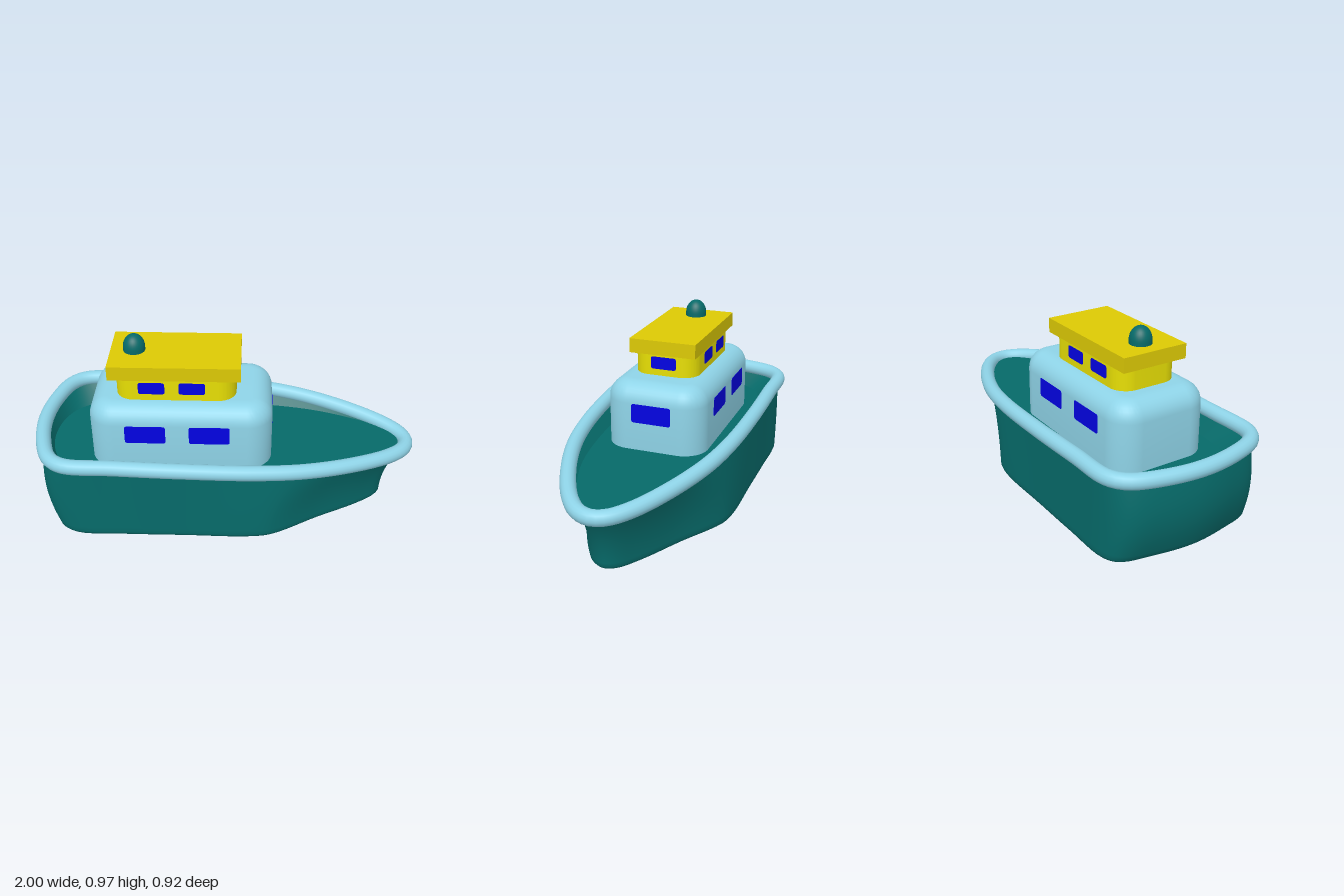
import * as THREE from 'three';
import { toCreasedNormals } from 'three/addons/utils/BufferGeometryUtils.js';

const mat = (name, color) => {
  const m = new THREE.MeshStandardMaterial({ color });
  m.name = name;
  return m;
};

// Half outlines [x, z] from stern to bow, with matching points
const SHEER = [[-0.96, 0], [-0.937, 0.19], [-0.878, 0.35], [-0.8, 0.408], [-0.55, 0.417], [-0.2, 0.418],
  [0.15, 0.397], [0.4, 0.352], [0.65, 0.262], [0.85, 0.153], [0.937, 0.07], [0.96, 0]];
const KEEL = [[-0.91, 0], [-0.885, 0.2], [-0.84, 0.37], [-0.77, 0.413], [-0.5, 0.42], [-0.2, 0.42],
  [0.13, 0.42], [0.25, 0.398], [0.5, 0.255], [0.72, 0.135], [0.825, 0.058], [0.85, 0]];
const DECK = [[-0.92, 0], [-0.89, 0.16], [-0.82, 0.26], [-0.72, 0.31], [-0.5, 0.335], [-0.2, 0.34],
  [0.15, 0.325], [0.45, 0.28], [0.65, 0.215], [0.82, 0.13], [0.885, 0.06], [0.905, 0]];
const N = 132;
const DECK_Y = 0.34;
const { lerp, smoothstep } = THREE.MathUtils;

const sheerY = (x) => 0.422 - 0.058 * x - 0.034 * x * x;

// Mirror a half outline into a closed smooth curve
function outline(half, yOf) {
  const other = half.slice(1, -1).reverse().map(([x, z]) => [x, -z]);
  const pts = [...half, ...other].map(([x, z]) => new THREE.Vector3(x, yOf(x), z));
  return new THREE.CatmullRomCurve3(pts, true);
}
const sample = (curve) => Array.from({ length: N }, (_, i) => curve.getPoint(i / N));

// Skin a list of closed rings
function loft(rings) {
  const pos = [], idx = [];
  rings.forEach((r) => r.forEach((p) => pos.push(p.x, p.y, p.z)));
  for (let j = 0; j < rings.length - 1; j++) {
    for (let i = 0; i < N; i++) {
      const k = (i + 1) % N;
      const a = j * N + i, b = j * N + k, c = a + N, d = b + N;
      idx.push(a, b, d, a, d, c);
    }
  }
  const g = new THREE.BufferGeometry();
  g.setAttribute('position', new THREE.Float32BufferAttribute(pos, 3));
  g.setIndex(idx);
  g.computeVertexNormals();
  return g;
}

function roundedRect(w, h, r) {
  const s = new THREE.Shape();
  const x = w / 2, y = h / 2;
  s.absarc(x - r, y - r, r, 0, Math.PI / 2);
  s.absarc(-x + r, y - r, r, Math.PI / 2, Math.PI);
  s.absarc(-x + r, -y + r, r, Math.PI, Math.PI * 1.5);
  s.absarc(x - r, -y + r, r, Math.PI * 1.5, Math.PI * 2);
  s.closePath();
  return s;
}

// Upright block with rounded corners in plan; bevel softens its top and bottom edges
function block(width, height, depth, corner, bevel) {
  const shape = roundedRect(width - 2 * bevel, depth - 2 * bevel, corner - bevel);
  const g = new THREE.ExtrudeGeometry(shape, {
    depth: height - 2 * bevel, curveSegments: 10,
    bevelEnabled: bevel > 0, bevelSize: bevel, bevelThickness: bevel, bevelSegments: 8,
  });
  g.rotateX(-Math.PI / 2);
  g.translate(0, bevel, 0);
  return toCreasedNormals(g, 0.7);
}

export function createModel() {
  const teal = mat('teal', 0x066a69);
  const paleBlue = mat('paleBlue', 0x8fd4e8);
  const yellow = mat('yellow', 0xe6de04);
  const roofYellow = mat('roofYellow', 0xdcc904);
  const glassBlue = mat('glassBlue', 0x0202e2);

  const model = new THREE.Group();
  model.name = 'boat';
  const add = (name, geometry, material, x = 0, y = 0, z = 0) => {
    const m = new THREE.Mesh(geometry, material);
    m.name = name;
    m.position.set(x, y, z);
    model.add(m);
    return m;
  };

  const sheerCurve = outline(SHEER, sheerY);
  const sheer = sample(sheerCurve);
  const keel = sample(outline(KEEL, () => 0));
  const deck = sample(outline(DECK, () => DECK_Y));

  // Hull: flat bottom, rounded chine, flared bow and bulging transom
  const level = (t, scale = 1) => keel.map((k, i) => {
    const s = sheer[i];
    const w = Math.pow(t, lerp(0.8, 2.2, smoothstep(k.x, -0.6, 0.5)));
    const bulge = 0.038 * Math.sin(Math.PI * t) * smoothstep(-k.x, 0.68, 0.88);
    return new THREE.Vector3(lerp(k.x, s.x, w) * scale - bulge, s.y * t, lerp(k.z, s.z, w) * scale);
  });
  const rings = [level(0, 0), level(0, 0.92), level(0, 0.96), level(0.015, 0.986), level(0.055)];
  for (let j = 1; j <= 16; j++) rings.push(level(0.055 + 0.945 * j / 16));
  add('hull', loft(rings), teal);

  // Inner bulwark and flat deck
  add('bulwark', loft([sheer, deck]), teal);
  add('deck', loft([deck, deck.map(() => new THREE.Vector3(0, DECK_Y, 0))]), teal);

  // Rounded rail around the top edge
  add('rail', new THREE.TubeGeometry(sheerCurve, 160, 0.039, 16, true), paleBlue);

  // Lower cabin, wheelhouse and roof slab
  add('cabin', block(0.93, 0.49, 0.53, 0.13, 0.1), paleBlue, -0.225, 0.2, 0);
  add('wheelhouse', block(0.606, 0.14, 0.342, 0.09, 0), yellow, -0.247, 0.675, 0);
  add('roof', new THREE.BoxGeometry(0.66, 0.075, 0.356), roofYellow, -0.253, 0.8425, 0);

  // Domed funnel
  const dome = [new THREE.Vector2(0.056, 0)];
  for (let i = 0; i <= 12; i++) {
    const a = (i / 12) * Math.PI / 2;
    dome.push(new THREE.Vector2(Math.max(0.056 * Math.cos(a), 0), 0.018 + 0.07 * Math.sin(a)));
  }
  add('funnel', new THREE.LatheGeometry(dome, 32), teal, -0.463, 0.879, 0);

  // Windows: thin plates almost flush with both sides and the forward face
  const pane = (w, h) => new THREE.ExtrudeGeometry(roundedRect(w, h, 0.012),
    { depth: 0.008, bevelEnabled: false, curveSegments: 4 });
  const inset = 0.0065;
  const windowRow = (name, w, h, y, xs, sideZ, frontX, frontW) => {
    for (const x of xs) {
      add(name + 'Left', pane(w, h), glassBlue, x, y, sideZ - inset);
      add(name + 'Right', pane(w, h), glassBlue, x, y, -sideZ + inset).rotation.y = Math.PI;
    }
    add(name + 'Forward', pane(frontW, h), glassBlue, frontX - inset, y, 0).rotation.y = Math.PI / 2;
  };
  windowRow('cabinWindow', 0.205, 0.1, 0.54, [-0.4, -0.077], 0.265, 0.24, 0.21);
  windowRow('wheelhouseWindow', 0.132, 0.065, 0.757, [-0.367, -0.165], 0.171, 0.056, 0.136);

  return model;
}
